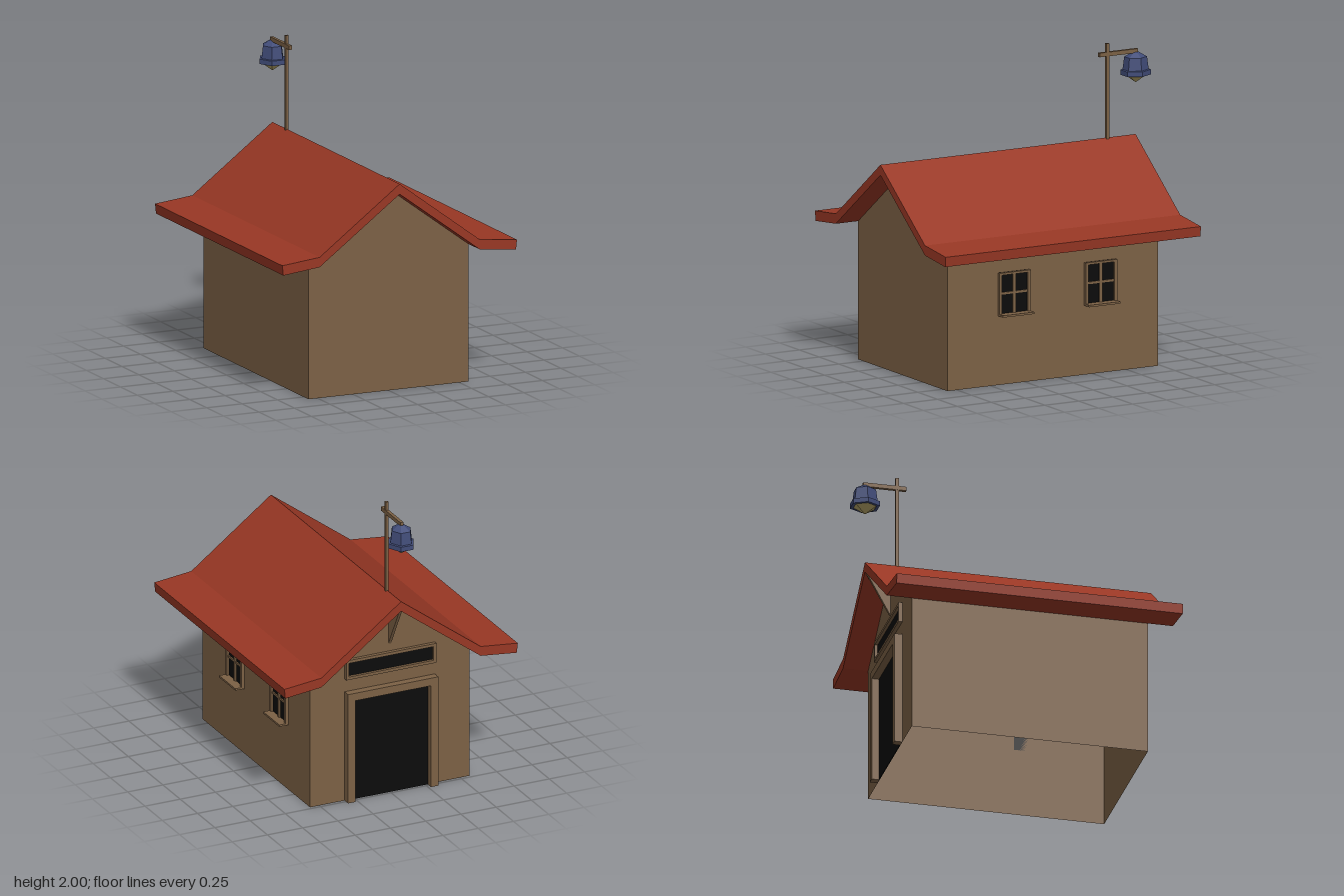
import * as THREE from 'three';

const brown = new THREE.MeshStandardMaterial({ color: 0x7c6145, side: THREE.DoubleSide });
brown.name = 'brown wood';
const red = new THREE.MeshStandardMaterial({ color: 0x983724 });
red.name = 'red roof';
const black = new THREE.MeshStandardMaterial({ color: 0x0b0b0b });
black.name = 'black opening';
const blue = new THREE.MeshStandardMaterial({ color: 0x414c78 });
blue.name = 'blue lantern';
const straw = new THREE.MeshStandardMaterial({ color: 0xb5a468 });
straw.name = 'straw glass';

const WALL_X = 0.565, BACK = -0.73, FRONT = 0.82;

function add(parent, name, geometry, material) {
  const mesh = new THREE.Mesh(geometry, material);
  mesh.name = name;
  parent.add(mesh);
  return mesh;
}

// Box given by its extents on each axis
function box(parent, name, material, [x0, x1], [y0, y1], [z0, z1]) {
  const mesh = add(parent, name, new THREE.BoxGeometry(x1 - x0, y1 - y0, z1 - z0), material);
  mesh.position.set((x0 + x1) / 2, (y0 + y1) / 2, (z0 + z1) / 2);
  return mesh;
}

function shapeOf(points) {
  return new THREE.Shape(points.map(([x, y]) => new THREE.Vector2(x, y)));
}

// Faceted six-sided turning with corners on the x axis
function hexLathe(points) {
  const profile = points.map(([r, y]) => new THREE.Vector2(r, y));
  const g = new THREE.LatheGeometry(profile, 6, Math.PI / 6).toNonIndexed();
  g.scale(1, 1, 1.13);
  g.computeVertexNormals();
  return g;
}

function makeWalls() {
  const walls = new THREE.Group();
  walls.name = 'walls';
  const gable = shapeOf([[-WALL_X, 0], [WALL_X, 0], [WALL_X, 0.9], [0, 1.32], [-WALL_X, 0.9]]);
  add(walls, 'frontWall', new THREE.ShapeGeometry(gable), brown).position.z = FRONT;
  const back = add(walls, 'backWall', new THREE.ShapeGeometry(gable), brown);
  back.position.z = BACK;
  back.rotation.y = Math.PI;
  for (const s of [-1, 1]) {
    const side = add(walls, s > 0 ? 'leftWall' : 'rightWall', new THREE.PlaneGeometry(FRONT - BACK, 0.9), brown);
    side.position.set(s * WALL_X, 0.45, (FRONT + BACK) / 2);
    side.rotation.y = s * Math.PI / 2;
  }
  return walls;
}

// Bent roof slab with flared eaves
function makeRoof() {
  const top = [[0.828, 0.937], [WALL_X, 0.965], [0, 1.387]];
  const under = [[0, 1.32], [WALL_X, 0.9], [0.821, 0.872]];
  const flip = ([x, y]) => [-x, y];
  const outline = [
    ...top, ...top.slice(0, 2).reverse().map(flip),
    ...under.slice(1).reverse().map(flip), ...under,
  ];
  const g = new THREE.ExtrudeGeometry(shapeOf(outline), { depth: 1.88, bevelEnabled: false });
  g.translate(0, 0, -0.895);
  const mesh = new THREE.Mesh(g, red);
  mesh.name = 'roof';
  return mesh;
}

// Four-pane window on the left wall, centred at z
function makeWindow(z) {
  const win = new THREE.Group();
  win.name = 'window';
  const w = 0.116, t = 0.02, y0 = 0.455, y1 = 0.73;
  const depth = [WALL_X, 0.586];
  box(win, 'panes', black, [WALL_X, 0.57], [y0, y1], [-w + 0.01, w - 0.01]);
  for (const s of [-1, 1]) {
    const zs = [s * w, s * (w - t)].sort((a, b) => a - b);
    box(win, 'frameSide', brown, depth, [y0, y1], zs);
  }
  box(win, 'frameTop', brown, depth, [y1 - 0.014, y1], [-w + t, w - t]);
  box(win, 'uprightBar', brown, [WALL_X, 0.58], [y0, y1 - 0.014], [-0.011, 0.011]);
  box(win, 'crossBar', brown, [WALL_X, 0.578], [0.588, 0.602], [-w + t, w - t]);
  box(win, 'sill', brown, [WALL_X, 0.63], [0.45, 0.463], [-w, w]);
  win.position.z = z;
  return win;
}

// Doorway, transom and ridge bracket on the back wall
function makeEntrance() {
  const entrance = new THREE.Group();
  entrance.name = 'entrance';
  const doorZ = [-0.782, BACK], transomZ = [-0.755, BACK], paneZ = [BACK - 0.005, BACK];
  box(entrance, 'doorway', black, [-0.28, 0.28], [0, 0.72], paneZ);
  box(entrance, 'doorLintel', brown, [-0.32, 0.32], [0.705, 0.757], doorZ);
  box(entrance, 'transomPane', black, [-0.31, 0.31], [0.85, 0.97], paneZ);
  for (const y of [0.845, 0.96]) {
    box(entrance, 'transomRail', brown, [-0.32, 0.32], [y, y + 0.02], transomZ);
  }
  for (const s of [-1, 1]) {
    const span = (a, b) => [s * a, s * b].sort((p, q) => p - q);
    box(entrance, 'doorPost', brown, span(0.268, 0.32), [0, 0.705], doorZ);
    box(entrance, 'transomEnd', brown, span(0.3, 0.32), [0.865, 0.96], transomZ);
  }
  const bracket = new THREE.ExtrudeGeometry(
    shapeOf([[0, 1.03], [0.16, 1.32], [0, 1.32]]), { depth: 0.02, bevelEnabled: false });
  bracket.translate(0, 0, -0.01).rotateY(Math.PI / 2);
  add(entrance, 'ridgeBracket', bracket, brown).position.z = BACK;
  return entrance;
}

// Ridge pole with a hanging lantern
function makeLamp() {
  const lamp = new THREE.Group();
  lamp.name = 'lamp';
  box(lamp, 'pole', brown, [-0.01, 0.01], [1.34, 2], [-0.695, -0.674]);
  box(lamp, 'arm', brown, [-0.011, 0.011], [1.917, 1.944], [-0.908, -0.625]);
  const lantern = new THREE.Group();
  lantern.name = 'lantern';
  add(lantern, 'shade', hexLathe([
    [0.066, 1.785], [0.07, 1.775], [0.089, 1.775], [0.089, 1.807], [0.076, 1.81], [0.066, 1.892], [0.02, 1.922], [0, 1.924],
  ]), blue);
  add(lantern, 'glass', hexLathe([[0, 1.725], [0.07, 1.778]]), straw);
  lantern.position.z = -0.895;
  lamp.add(lantern);
  return lamp;
}

export function createModel() {
  const model = new THREE.Group();
  model.name = 'house';
  model.add(makeWalls(), makeRoof(), makeEntrance(), makeLamp());
  for (const z of [0.333, -0.303]) model.add(makeWindow(z));
  return model;
}
